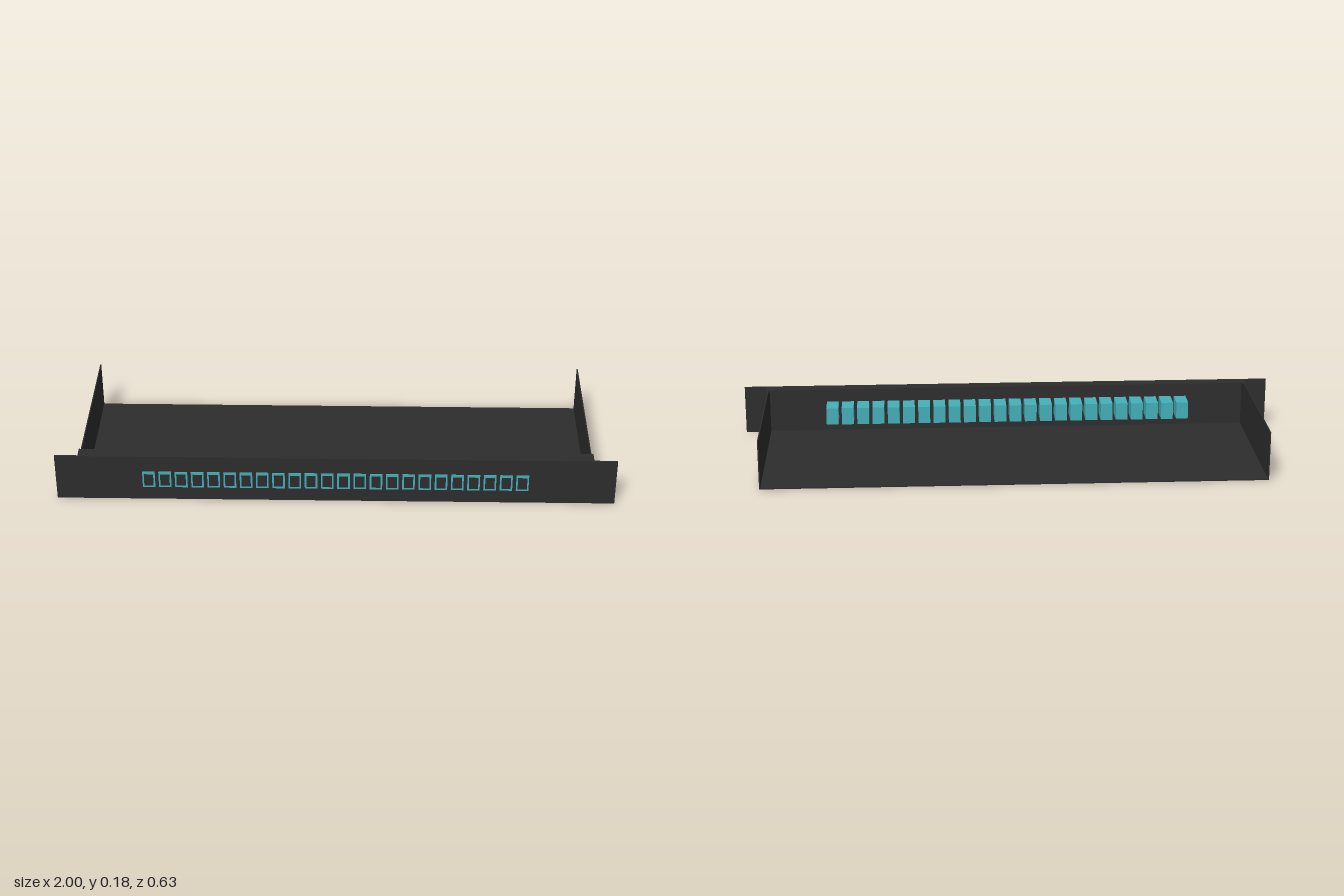
import * as THREE from 'three';

const steel = new THREE.MeshStandardMaterial({ color: 0x2d2d2d });
steel.name = 'dark steel';
const teal = new THREE.MeshStandardMaterial({ color: 0x45b0ba });
teal.name = 'teal plastic';

// Box given by its extents on each axis
function block(name, material, [x0, x1], [y0, y1], [z0, z1]) {
  const mesh = new THREE.Mesh(new THREE.BoxGeometry(x1 - x0, y1 - y0, z1 - z0), material);
  mesh.position.set((x0 + x1) / 2, (y0 + y1) / 2, (z0 + z1) / 2);
  mesh.name = name;
  return mesh;
}

export function createModel() {
  const model = new THREE.Group();
  model.name = 'patchPanel';
  const H = 0.181, T = 0.004, BACK = -0.314, PANEL = 0.3035;

  // Front plate with mounting ears
  model.add(block('frontPanel', steel, [-1, 1], [0, H], [PANEL, 0.309]));

  // Open tray: floor and side walls
  model.add(block('trayFloor', steel, [-0.91, 0.91], [0, T], [BACK, PANEL]));
  for (const s of [-1, 1]) {
    const wall = block('trayWall', steel, [0.906, 0.91], [T, H], [BACK, PANEL]);
    const flange = block('sideFlange', steel, [0.91, 0.917], [0, H], [0.262, PANEL]);
    wall.position.x *= s;
    flange.position.x *= s;
    model.add(wall, flange);
  }

  // Folded lip along the top behind the front plate
  model.add(block('topLip', steel, [-0.906, 0.906], [H - T, H], [0.262, PANEL]));

  // Row of 24 jacks: body behind the plate, frame and socket in front
  const count = 24, pitch = 0.058;
  for (let i = 0; i < count; i++) {
    const jack = new THREE.Group();
    jack.name = 'jack';
    jack.add(block('jackBody', teal, [-0.0225, 0.0225], [0.053, 0.118], [0.222, PANEL]));
    jack.add(block('jackFrame', teal, [-0.0225, 0.0225], [0.053, 0.118], [0.309, 0.312]));
    jack.add(block('jackSocket', steel, [-0.0165, 0.0165], [0.062, 0.108], [0.312, 0.315]));
    jack.position.x = (i - (count - 1) / 2) * pitch;
    model.add(jack);
  }
  return model;
}
